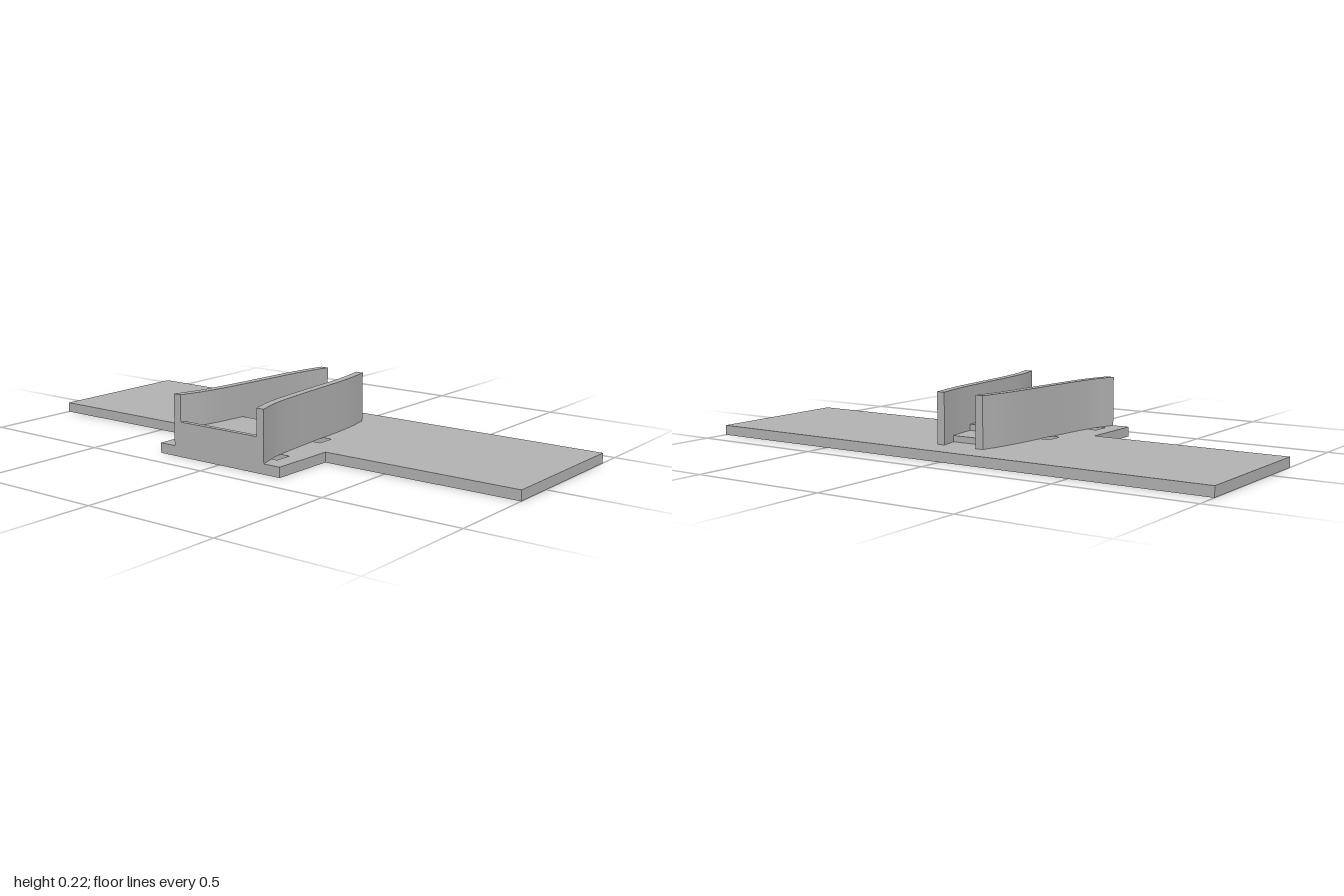
import * as THREE from 'three';
import { toCreasedNormals } from 'three/addons/utils/BufferGeometryUtils.js';

const PLATE = 0.036, WALL_TOP = 0.218, MID_Z = -0.003, THICK = 0.03;

// Outer face of a side wall: x, distance from the middle line
const outer = new THREE.SplineCurve([
  [-0.407, 0.197], [-0.31, 0.169], [-0.2, 0.153], [-0.035, 0.138],
  [0.1, 0.127], [0.2, 0.114], [0.293, 0.095],
].map(([x, d]) => new THREE.Vector2(x, d))).getPoints(36);

// Half width of the channel at a given x, reaching slightly into the walls
function halfWidth(x) {
  const i = Math.max(1, outer.findIndex((p) => p.x >= x - 1e-6));
  const a = outer[i - 1], b = outer[i];
  return THREE.MathUtils.mapLinear(x, a.x, b.x, a.y, b.y) - THICK * 0.8;
}

// Raises a plan outline (x, -z) from y0 to y1
function raise(shape, y0, y1) {
  const g = new THREE.ExtrudeGeometry(shape, { depth: y1 - y0, bevelEnabled: false });
  g.rotateX(-Math.PI / 2);
  g.translate(0, y0, 0);
  return toCreasedNormals(g, 0.4);
}

const outline = (pts) => new THREE.Shape(pts.map(([x, z]) => new THREE.Vector2(x, -z)));

export function createModel() {
  const group = new THREE.Group();
  const grey = new THREE.MeshStandardMaterial({ color: 0xb2b2b2 });
  grey.name = 'grey';
  const add = (name, geometry) => {
    const mesh = new THREE.Mesh(geometry, grey);
    mesh.name = name;
    group.add(mesh);
  };

  // T-shaped plate with two strap slots running under the channel
  const plate = outline([
    [-0.16, 1], [0.405, 1], [0.405, -1], [-0.16, -1],
    [-0.16, -0.265], [-0.407, -0.265], [-0.407, 0.26], [-0.16, 0.26],
  ]);
  for (const [x0, x1, d] of [[-0.342, -0.276, 0.2], [-0.07, -0.002, 0.172]]) {
    const z0 = MID_Z - d, z1 = MID_Z + d;
    plate.holes.push(outline([[x0, z0], [x0, z1], [x1, z1], [x1, z0]]));
  }
  add('basePlate', raise(plate, 0, PLATE));

  // Mirrored curved side walls
  for (const [name, s] of [['leftWall', 1], ['rightWall', -1]]) {
    const out = outer.map((p) => [p.x, MID_Z + s * p.y]);
    const inn = outer.map((p) => [p.x, MID_Z + s * (p.y - THICK)]).reverse();
    add(name, raise(outline([...out, ...inn]), PLATE, WALL_TOP));
  }

  // Stepped floor between the walls, rising to a lip at the wide end
  const steps = [[-0.407, -0.388, 0.123], [-0.388, -0.14, 0.101], [-0.14, 0.1, 0.08], [0.1, 0.222, 0.058]];
  steps.forEach(([x0, x1, top], i) => {
    const xs = Array.from({ length: 9 }, (_, k) => x0 + (x1 - x0) * k / 8);
    const near = xs.map((x) => [x, MID_Z + halfWidth(x)]);
    const far = xs.map((x) => [x, MID_Z - halfWidth(x)]).reverse();
    add(i === 0 ? 'endLip' : `floorStep${i}`, raise(outline([...near, ...far]), PLATE, top));
  });

  return group;
}
